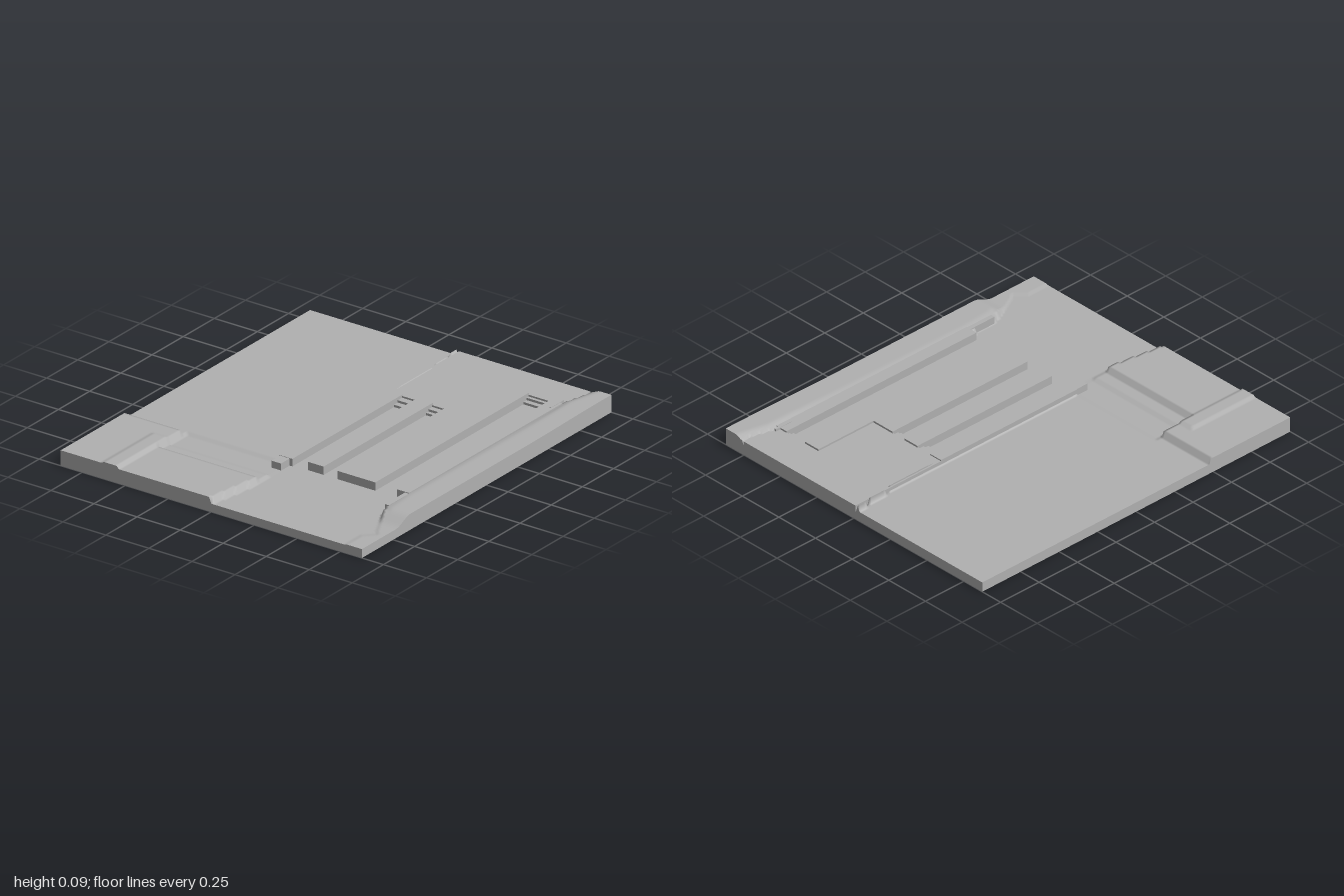
import * as THREE from 'three';

const WATER = 0.042, LAND = 0.08;
const step = (a, b, v) => THREE.MathUtils.smoothstep(v, a, b);
const mix = THREE.MathUtils.lerp;

// straight-line interpolation through [x, value] points
function along(points, x) {
  for (let i = 1; i < points.length; i++) {
    const [x0, v0] = points[i - 1], [x1, v1] = points[i];
    if (x <= x1) return mix(v0, v1, (x - x0) / (x1 - x0));
  }
  return points[points.length - 1][1];
}

// shorelines of the basin and the foot and top of the rear bank
const northShore = [[-1, 0], [-0.68, 0.05], [-0.5, 0.05], [-0.48, 0.005], [0.73, 0.005], [1, -0.02]];
const southShore = [[-1, 0.78], [-0.88, 0.78], [-0.82, 0.83], [-0.75, 0.79], [-0.6, 0.72],
  [-0.43, 0.71], [0.7, 0.72], [0.83, 0.72], [1, 0.76]];
const channelEdge = [[-0.42, -0.655], [0.38, -0.715], [0.48, -0.75], [0.54, -0.82], [0.57, -0.9]];

function rearGround(x, z) {
  // bank dropping from the plateau to the channel
  let h = mix(LAND, 0.043, step(-0.545, -0.64, z));
  // low raised field beyond the channel
  if (x > -0.45 && x < 0.57) {
    const e = along(channelEdge, x);
    h += 0.012 * step(e + 0.01, e - 0.025, z) * step(0.57, 0.52, x);
  }
  if (x < -0.6) h += 0.008 * step(-0.635, -0.66, z);
  // embankment crossing the channel
  const c = mix(-0.52, -0.56, step(-0.6, -0.875, z));
  const ridge = step(0.12, 0.035, Math.abs(x - c)) * step(-0.54, -0.62, z);
  return Math.max(h, mix(h, 0.074, ridge));
}

function groundHeight(x, z) {
  const n = along(northShore, x), s = along(southShore, x);
  if (z < n) {
    let h = rearGround(x, z);
    // rise beside the right shore
    h += 0.015 * step(0.45, 0.62, x) * step(-0.24, -0.06, z);
    // worn slope and gullies beside the left shore
    const left = step(-0.48, -0.56, x);
    h = mix(h, Math.min(h, mix(0.052, LAND, step(n - 0.01, n - 0.15, z))), left);
    const rough = step(-0.45, -0.85, x) * step(-0.58, -0.48, z) * step(0, -0.1, z);
    h -= rough * 0.006 * (1 + Math.sin(13 * x + 21 * z) * Math.cos(9 * z - 17 * x));
    return h;
  }
  if (z > s) {
    // front shore, falling away to low ground at the left
    const top = mix(0.083, 0.091, step(0.3, 0.95, x));
    const h = mix(0.046, top, step(-0.73, -0.61, x));
    return mix(Math.min(h, 0.075), h, step(s, s + 0.05, z));
  }
  return WATER;
}

export function createModel() {
  const model = new THREE.Group();
  model.name = 'harbourTerrain';
  const stone = new THREE.MeshStandardMaterial({ color: 0xb0b0b0 });
  stone.name = 'stoneGrey';

  // ground slab with a sculpted top
  const slab = new THREE.BoxGeometry(2, 2, 1.75, 160, 1, 140);
  const p = slab.attributes.position;
  for (let i = 0; i < p.count; i++) {
    p.setY(i, p.getY(i) > 0 ? groundHeight(p.getX(i), p.getZ(i)) : 0);
  }
  slab.computeVertexNormals();
  const ground = new THREE.Mesh(slab, stone);
  ground.name = 'ground';
  model.add(ground);

  // a block given by its plan extents and top height
  function block(name, x0, x1, z0, z1, top) {
    const bottom = 0.01;
    const m = new THREE.Mesh(new THREE.BoxGeometry(x1 - x0, top - bottom, z1 - z0), stone);
    m.position.set((x0 + x1) / 2, (top + bottom) / 2, (z0 + z1) / 2);
    m.name = name;
    model.add(m);
  }

  // low yard to the right of the docks
  block('yard', 0.44, 1, -0.01, 0.45, 0.075);
  block('yardFront', 0.8, 1, 0.45, 0.755, 0.075);

  // quays and piers between the docks
  block('rearQuay', -0.44, 0.445, -0.01, 0.065, 0.081);
  block('rearQuayCorner', -0.51, -0.44, -0.005, 0.05, 0.079);
  block('narrowPier', -0.43, 0.445, 0.15, 0.24, 0.085);
  block('widePier', -0.43, 0.445, 0.32, 0.54, 0.085);
  block('widePierEnd', 0.445, 0.803, 0.45, 0.54, 0.085);
  block('frontQuay', -0.43, 0.803, 0.667, 0.735, 0.084);
  block('frontQuayCorner', -0.59, -0.43, 0.712, 0.735, 0.08);
  block('frontQuayCorner', 0.73, 0.83, 0.71, 0.722, 0.086);

  // stepped heads of the three docks
  for (const [z0, z1, xa, xb, xEnd] of [
    [0.065, 0.15, 0.375, 0.405, 0.445],
    [0.24, 0.32, 0.39, 0.41, 0.445],
    [0.54, 0.667, 0.757, 0.783, 0.803],
  ]) {
    block('dockStepLower', xa, xb, z0, z1, 0.054);
    block('dockStepUpper', xb, xEnd, z0, z1, 0.066);
  }
  return model;
}
